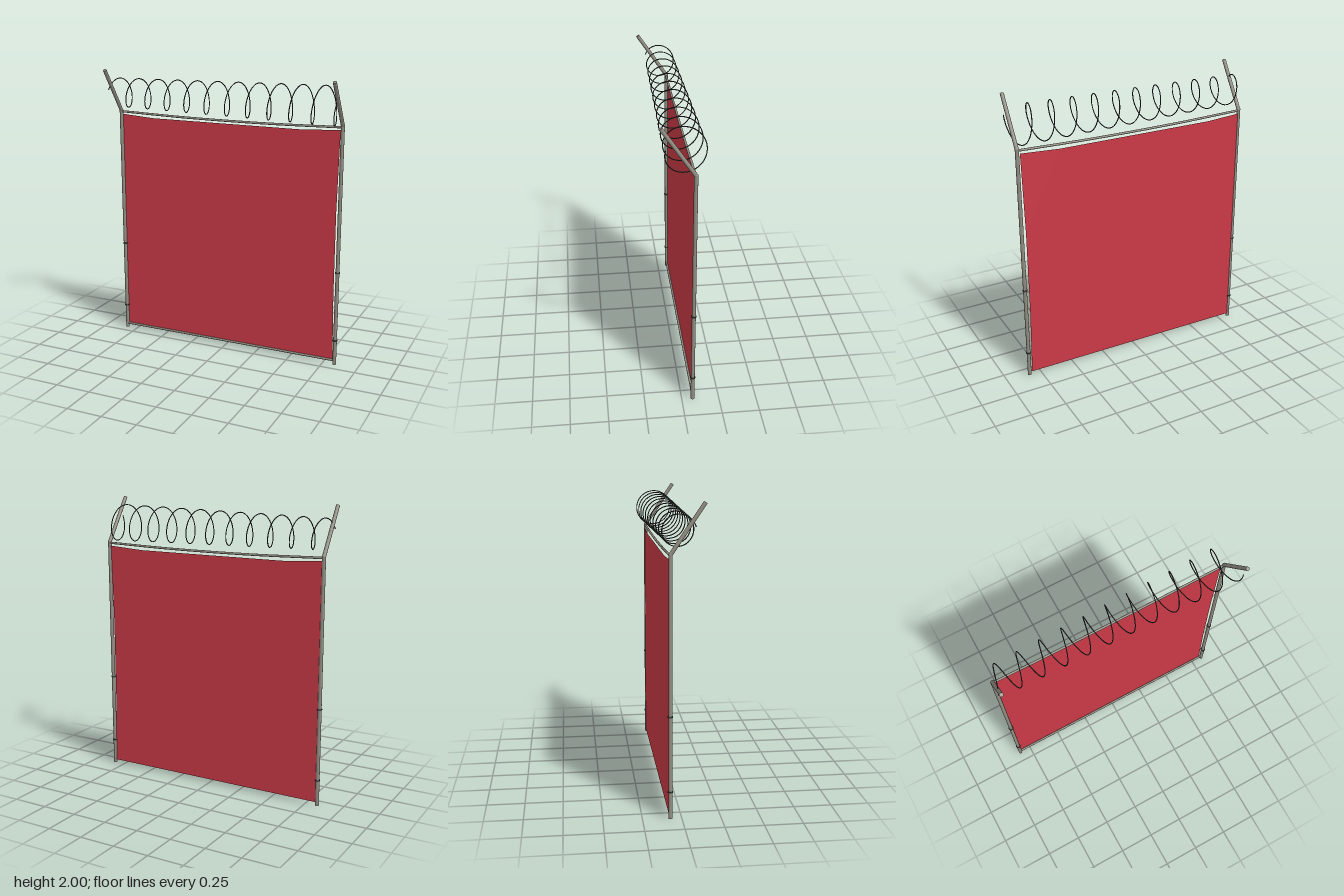
import * as THREE from 'three';

export function createModel() {
  const group = new THREE.Group();
  const steel = new THREE.MeshStandardMaterial({ color: 0x918d82 });
  steel.name = 'galvanised steel';
  const wire = new THREE.MeshStandardMaterial({ color: 0x3c3c3a });
  wire.name = 'dark wire';
  const red = new THREE.MeshStandardMaterial({ color: 0xcb3a47, side: THREE.DoubleSide });
  red.name = 'red sheet';

  const postX = 0.833, postZ = -0.073, postR = 0.013, elbowY = 1.685;

  const add = (name, geometry, material, parent = group) => {
    const mesh = new THREE.Mesh(geometry, material);
    mesh.name = name;
    parent.add(mesh);
    return mesh;
  };

  // Round bar between two points
  const bar = (name, a, b, radius, parent) => {
    const dir = b.clone().sub(a);
    const mesh = add(name, new THREE.CylinderGeometry(radius, radius, dir.length(), 16), steel, parent);
    mesh.position.copy(a).add(b).multiplyScalar(0.5);
    mesh.quaternion.setFromUnitVectors(new THREE.Vector3(0, 1, 0), dir.normalize());
    return mesh;
  };

  // Posts with forward-leaning arms and clamp bands
  for (const side of [-1, 1]) {
    const post = new THREE.Group();
    post.name = side > 0 ? 'leftPost' : 'rightPost';
    group.add(post);
    const x = side * postX;
    const elbow = new THREE.Vector3(x, elbowY, postZ);
    bar('upright', new THREE.Vector3(x, 0, postZ), elbow, postR, post);
    bar('arm', elbow, new THREE.Vector3(x, 1.992, 0.135), postR, post);
    add('elbow', new THREE.SphereGeometry(postR * 1.05, 16, 10), steel, post).position.copy(elbow);
    for (const y of [0.18, 0.677]) {
      add('clampBand', new THREE.CylinderGeometry(0.017, 0.017, 0.009, 16), wire, post).position.set(x, y, postZ);
    }
  }

  // Bottom rail and slightly sagging top rail
  bar('bottomRail', new THREE.Vector3(-postX, 0.03, postZ), new THREE.Vector3(postX, 0.03, postZ), 0.008);
  const sag = new THREE.CatmullRomCurve3(
    [[-postX, 1.677], [-0.3, 1.665], [0.3, 1.665], [postX, 1.677]].map(([x, y]) => new THREE.Vector3(x, y, postZ))
  );
  add('topRail', new THREE.TubeGeometry(sag, 24, 0.008, 10), steel);

  // Sheet hung behind the rails, with a drooping top edge and a slack side
  const outline = [
    [-0.825, 0.024], [0.817, 0.024], [0.807, 0.5], [0.806, 1.1], [0.817, 1.657],
    [0.55, 1.641], [-0.58, 1.641], [-0.825, 1.657],
  ].map(([x, y]) => new THREE.Vector2(x, y));
  add('sheet', new THREE.ShapeGeometry(new THREE.Shape(outline)), red).position.z = postZ - 0.008;

  // Coiled wire that widens towards the left
  class Coil extends THREE.Curve {
    getPoint(t, target = new THREE.Vector3()) {
      const x = -0.842 + 1.684 * t;
      const angle = ((x + 0.81) / 0.153) * Math.PI * 2;
      const radius = 0.1 + 0.03 * t;
      return target.set(x, 1.822 + radius * Math.cos(angle), -0.018 - radius * Math.sin(angle));
    }
  }
  add('coiledWire', new THREE.TubeGeometry(new Coil(), 440, 0.0035, 6), wire);

  return group;
}
